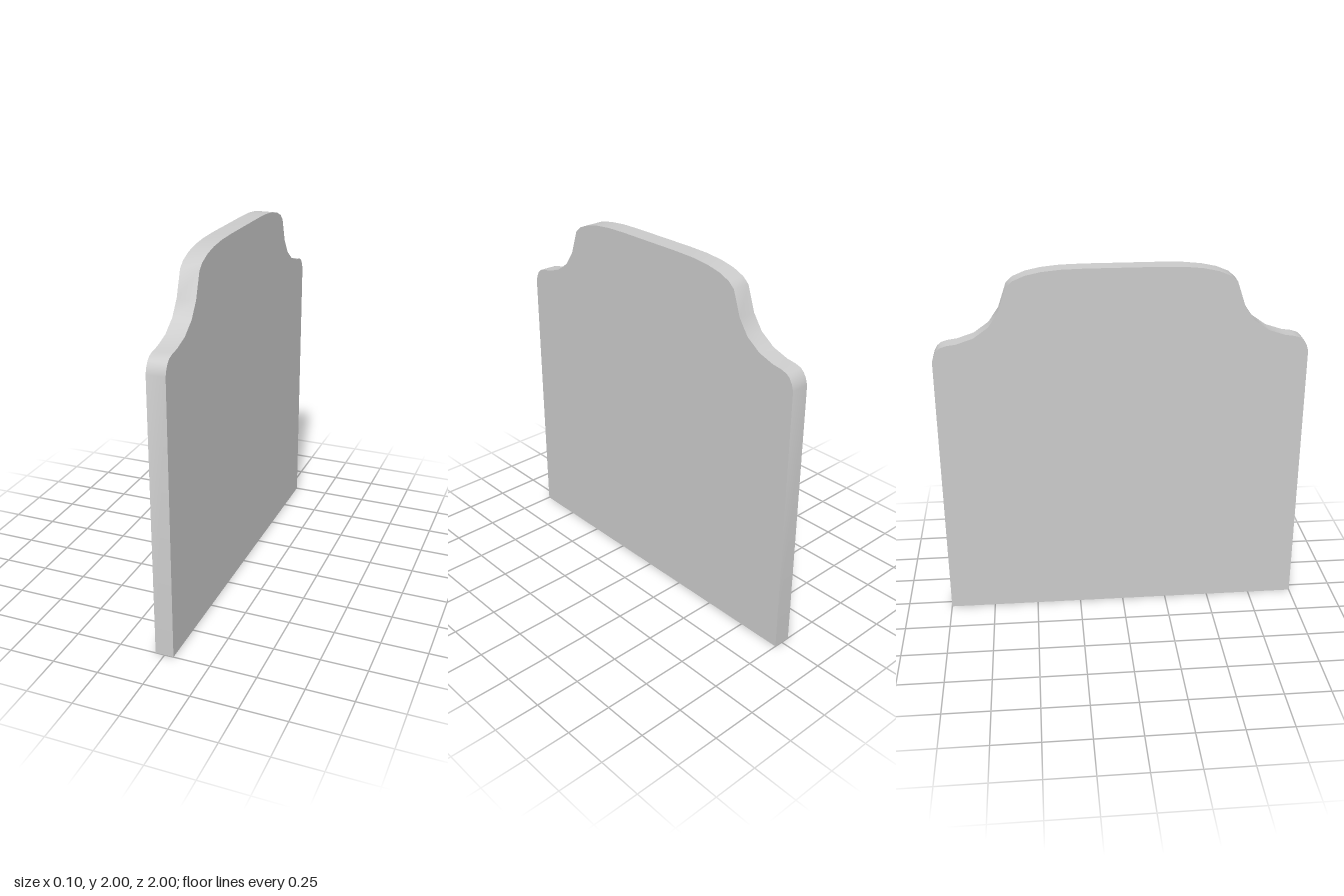
import * as THREE from 'three';
import { toCreasedNormals } from 'three/addons/utils/BufferGeometryUtils.js';

const THICKNESS = 0.1;

// Half outline of the panel, from the bottom corner up to the crown
const HALF = [
  [1, 0], [1, 1.52], [0.99, 1.552], [0.975, 1.578], [0.955, 1.595], [0.92, 1.606],
  [0.87, 1.613], [0.78, 1.643], [0.7, 1.7], [0.645, 1.78], [0.6, 1.912],
  [0.565, 1.943], [0.5, 1.97], [0.42, 1.987], [0.32, 1.997], [0.2, 2],
];

export function createModel() {
  const group = new THREE.Group();
  group.name = 'headboard';

  // Mirror the half outline into a closed, symmetric shape
  const mirrored = HALF.map(([x, y]) => [-x, y]).reverse();
  const outline = [...HALF, ...mirrored].map(([x, y]) => new THREE.Vector2(x, y));

  // Flat faces and sharp edges, with a smoothly shaded rim
  const extruded = new THREE.ExtrudeGeometry(new THREE.Shape(outline), {
    depth: THICKNESS,
    bevelEnabled: false,
  });
  extruded.translate(0, 0, -THICKNESS / 2);
  extruded.rotateY(Math.PI / 2);

  const panel = new THREE.Mesh(
    toCreasedNormals(extruded, 0.9),
    new THREE.MeshStandardMaterial({ color: 0xcccccc }),
  );
  panel.name = 'panel';
  group.add(panel);
  return group;
}
